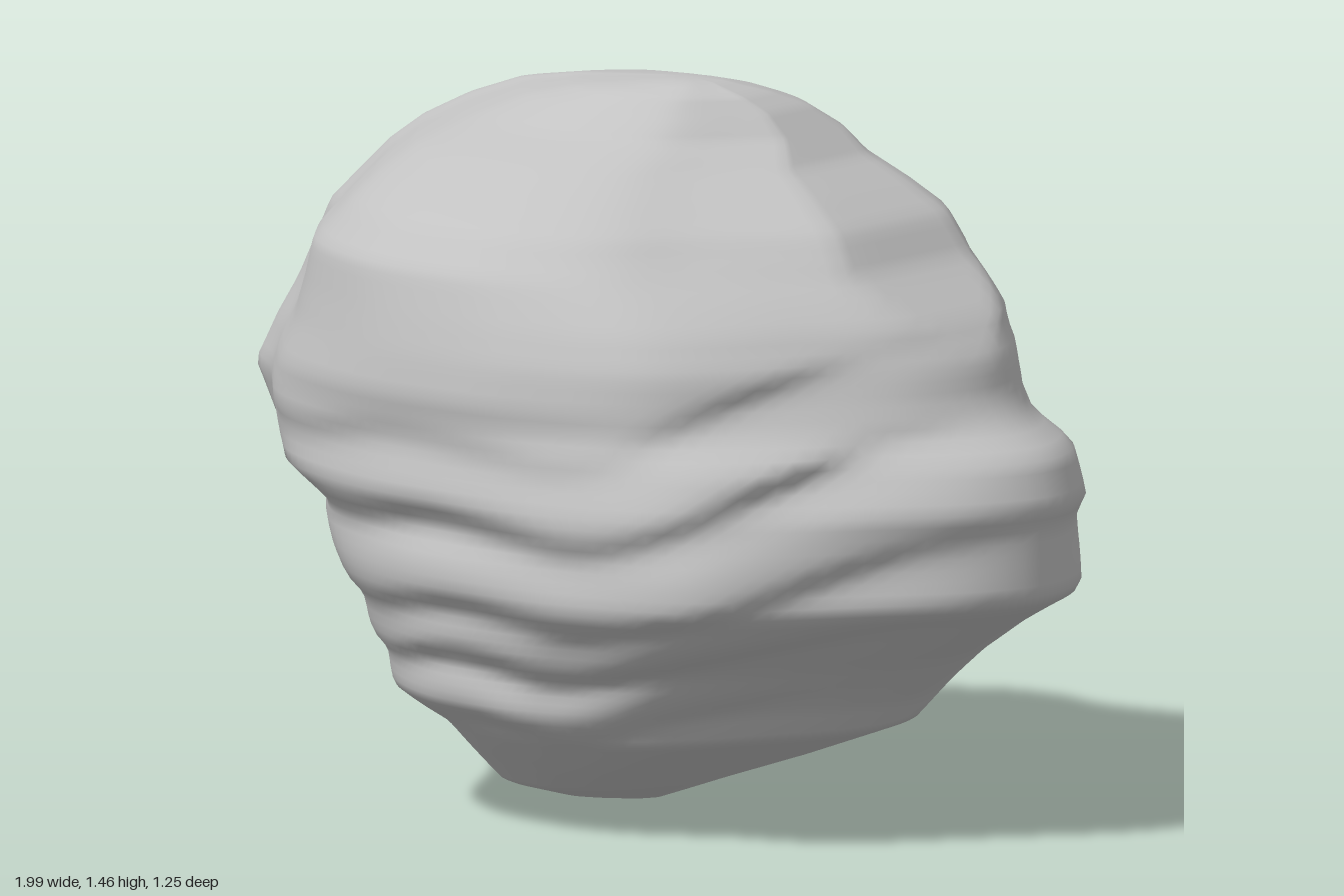
import * as THREE from 'three';

// Plan outline of the boulder (x, z), widest section, clockwise from its pointed end
const PLAN = [[-1, -0.1], [-0.95, -0.22], [-0.82, -0.37], [-0.54, -0.58], [-0.25, -0.61], [0, -0.6], [0.3, -0.62],
  [0.55, -0.57], [0.8, -0.4], [0.94, -0.25], [1, -0.08], [0.95, 0.08], [0.82, 0.24], [0.55, 0.53], [0.25, 0.61],
  [0.03, 0.61], [-0.28, 0.56], [-0.55, 0.43], [-0.7, 0.27], [-0.88, 0.04]];

// Section extents by height: y, xMin, xMax, zBack, zFront
const LEVELS = [
  [0, -0.1, 0, -0.13, -0.04], [0.02, -0.22, 0.06, -0.22, 0.1], [0.06, -0.3, 0.18, -0.29, 0.26],
  [0.12, -0.38, 0.36, -0.39, 0.35], [0.19, -0.47, 0.55, -0.53, 0.46], [0.25, -0.6, 0.6, -0.6, 0.51],
  [0.34, -0.66, 0.71, -0.61, 0.54], [0.42, -0.71, 0.85, -0.6, 0.59], [0.49, -0.77, 0.98, -0.61, 0.62],
  [0.57, -0.83, 0.98, -0.62, 0.63], [0.64, -0.86, 0.98, -0.62, 0.63], [0.68, -0.94, 1, -0.62, 0.63],
  [0.78, -1, 0.97, -0.62, 0.61], [0.83, -0.97, 0.88, -0.61, 0.6], [0.88, -0.94, 0.84, -0.61, 0.61],
  [0.96, -0.89, 0.82, -0.61, 0.6], [1.03, -0.86, 0.75, -0.61, 0.58], [1.12, -0.82, 0.62, -0.6, 0.55],
  [1.2, -0.74, 0.56, -0.57, 0.48], [1.25, -0.69, 0.48, -0.52, 0.39], [1.3, -0.62, 0.39, -0.46, 0.29],
  [1.35, -0.52, 0.34, -0.4, 0.17], [1.4, -0.37, 0.29, -0.3, 0.1], [1.43, -0.2, 0.24, -0.2, 0.06],
  [1.452, 0.03, 0.17, -0.1, 0]];

const smooth = THREE.MathUtils.smoothstep;
const bump = (v, centre, width) => Math.exp(-(((v - centre) / width) ** 2));
// Groove with a sharp overhang above and a gentle slope below
const groove = (v, centre, width) => bump(v, centre, v > centre ? width * 0.6 : width * 1.3);

function extentsAt(y) {
  let k = 0;
  while (k < LEVELS.length - 2 && LEVELS[k + 1][0] < y) k++;
  const a = LEVELS[k], b = LEVELS[k + 1];
  const t = (y - a[0]) / (b[0] - a[0]);
  return a.map((v, i) => v + (b[i] - v) * t);
}

// Fraction by which the surface is drawn in (px, pz are plan coordinates)
function inset(px, y, pz) {
  const front = smooth(pz, -0.42, -0.1);
  const ends = 1 - smooth(Math.abs(px), 0.7, 0.99);

  // Front strata, fanning out and rising toward the blunt end
  const fan = 0.5 + 0.7 * smooth(y, 0.3, 0.8);
  const rise = 0.17 * smooth(px, 0.2, 0.9) - 0.1 * pz * smooth(px, 0.1, 0.8);
  const s = y - rise * fan - 0.015 * Math.sin(px * 7 + pz * 4);
  const strata = 0.06 * groove(s, 0.61, 0.05) + 0.045 * groove(s, 0.44, 0.04)
    + 0.045 * groove(s, 0.33, 0.035) + 0.03 * groove(s, 0.2, 0.04) + 0.025 * groove(s, 0.77, 0.045);
  let d = strata * front * (0.35 + 0.65 * ends) * (0.85 + 0.25 * Math.sin(px * 5 + y * 4));

  // Diagonal ledge across the rear with a softer one beneath it
  const r = y - 0.3 * smooth(px, -0.4, 0.6);
  d += (1 - front) * ends * (0.075 * groove(r, 0.63, 0.06) + 0.035 * groove(r, 0.45, 0.06));
  // Hollows under the rear ledge
  d += 0.09 * bump(px, -0.45, 0.3) * bump(pz, -0.58, 0.2) * bump(y, 0.52, 0.12);
  d += 0.05 * bump(px, 0.25, 0.3) * bump(pz, -0.6, 0.2) * bump(y, 0.45, 0.1);
  // Scooped rear corner
  d += 0.1 * bump(px, 0.75, 0.16) * bump(pz, -0.46, 0.14) * bump(y, 0.75, 0.28);
  // Shelf behind the upper mass
  d += 0.24 * smooth(px, -0.3, 0.12) * smooth(-pz, 0.38, 0.56) * smooth(y, 0.97, 1.08) * (1 - smooth(y, 1.15, 1.38));
  // Steeper face at the front of the blunt end
  d += 0.09 * bump(px, 0.6, 0.3) * bump(pz, 0.45, 0.25) * bump(y, 1.2, 0.13);
  // Gentle unevenness
  return d * smooth(1.02 - Math.abs(px), 0, 0.1) + 0.008 * ends * Math.sin(px * 6 + y * 5) * Math.cos(pz * 6 - y * 4);
}

function boulderGeometry() {
  const around = 120, rows = 96;
  const curve = new THREE.CatmullRomCurve3(PLAN.map(([x, z]) => new THREE.Vector3(x, 0, z)), true);
  const plan = curve.getSpacedPoints(around).slice(0, around);
  const pos = [], index = [];
  for (let j = 0; j <= rows; j++) {
    // Rows crowd toward the flat top and base
    const u = j / rows;
    const y = 1.452 * (u - 0.08 * Math.sin(2 * Math.PI * u));
    const [, x0, x1, z0, z1] = extentsAt(y);
    const cx = (x0 + x1) / 2, cz = (z0 + z1) / 2, hx = (x1 - x0) / 2, hz = (z1 - z0) / 2;
    // The upper mass is blunter at +x
    const blunt = 1 + 0.1 * smooth(y, 0.95, 1.15);
    for (const p of plan) {
      const d = 1 - inset(p.x, y, p.z);
      const px = p.x > 0 ? Math.min(1, p.x * blunt) : p.x;
      pos.push(cx + hx * px * d, y, cz + hz * (p.z / 0.62) * d);
    }
  }
  for (let j = 0; j < rows; j++) {
    for (let i = 0; i < around; i++) {
      const n = (i + 1) % around;
      const a = j * around + i, b = j * around + n, c = a + around, e = b + around;
      index.push(a, c, b, b, c, e);
    }
  }
  // Caps at the base and summit
  const base = pos.length / 3, last = rows * around;
  pos.push(-0.05, 0, -0.085, 0.1, 1.456, -0.05);
  for (let i = 0; i < around; i++) {
    const n = (i + 1) % around;
    index.push(base, i, n, base + 1, last + n, last + i);
  }
  const geo = new THREE.BufferGeometry();
  geo.setAttribute('position', new THREE.Float32BufferAttribute(pos, 3));
  geo.setIndex(index);
  geo.computeVertexNormals();
  return geo;
}

export function createModel() {
  const group = new THREE.Group();
  group.name = 'boulder';
  const stone = new THREE.MeshStandardMaterial({ color: 0xc2c2c2 });
  stone.name = 'greyStone';
  const rock = new THREE.Mesh(boulderGeometry(), stone);
  rock.name = 'layeredRock';
  group.add(rock);
  return group;
}
